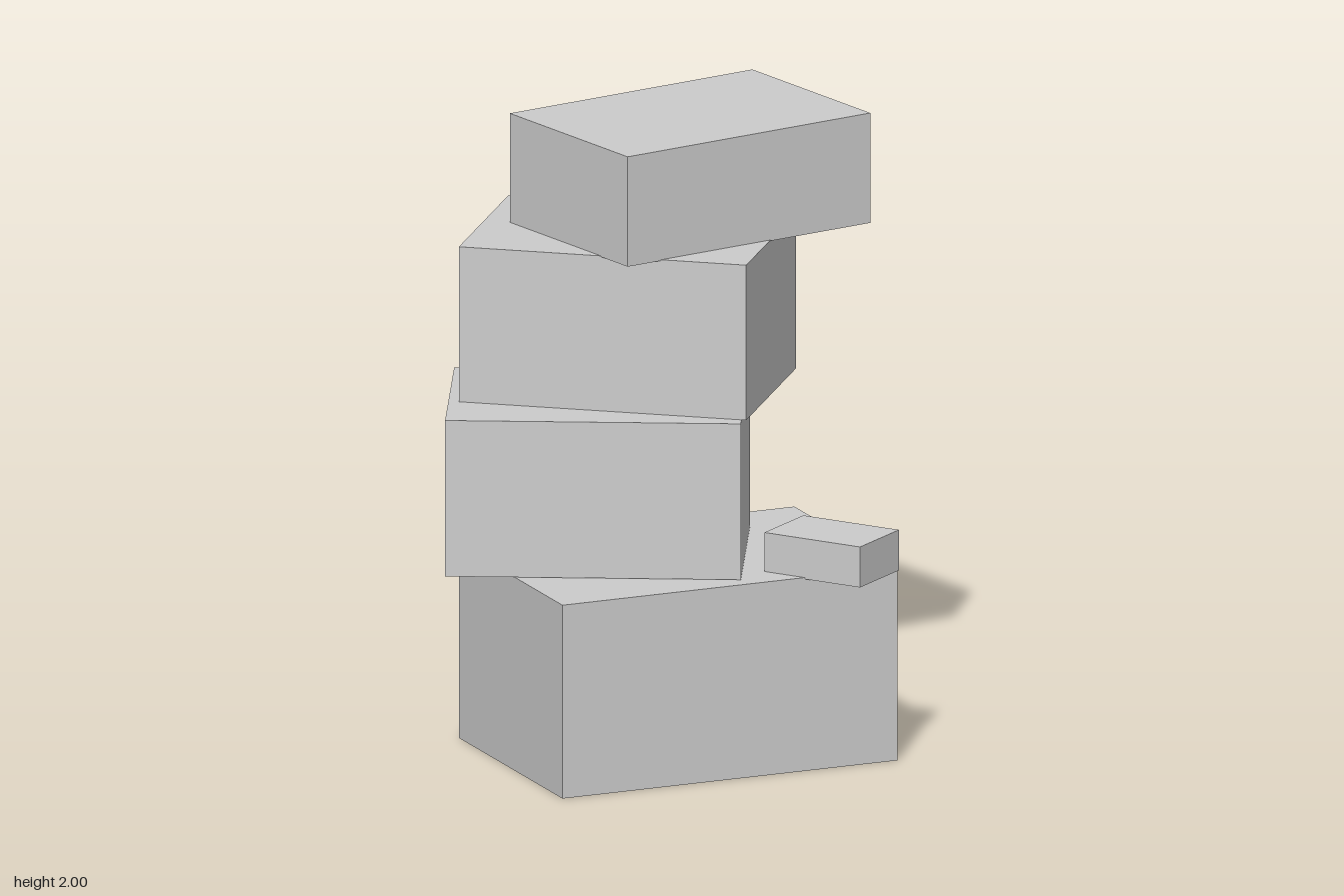
import * as THREE from 'three';

export function createModel() {
  const model = new THREE.Group();
  model.name = 'blockStack';
  const material = new THREE.MeshStandardMaterial({ color: 0xcccccc, flatShading: true });

  // One block: size across, depth, bottom and top heights, centre, turn about y
  function block(name, width, depth, y0, y1, x, z, turn) {
    const mesh = new THREE.Mesh(new THREE.BoxGeometry(width, y1 - y0, depth), material);
    mesh.name = name;
    mesh.position.set(x, (y0 + y1) / 2, z);
    mesh.rotation.y = turn;
    model.add(mesh);
  }

  // Large base, three equal-footprint blocks twisted above it, and a small loose slab
  block('baseBlock', 1.153, 0.805, 0, 0.63, 0.0235, 0.0865, 0.592);
  block('lowerBlock', 0.932, 0.647, 0.632, 1.14, -0.235, 0.087, 0.132);
  block('middleBlock', 0.932, 0.647, 1.14, 1.645, -0.165, -0.055, -0.067);
  block('topBlock', 0.932, 0.647, 1.642, 2, 0.012, -0.187, 0.787);
  block('smallSlab', 0.349, 0.242, 0.625, 0.757, 0.529, 0.173, -0.354);

  return model;
}
